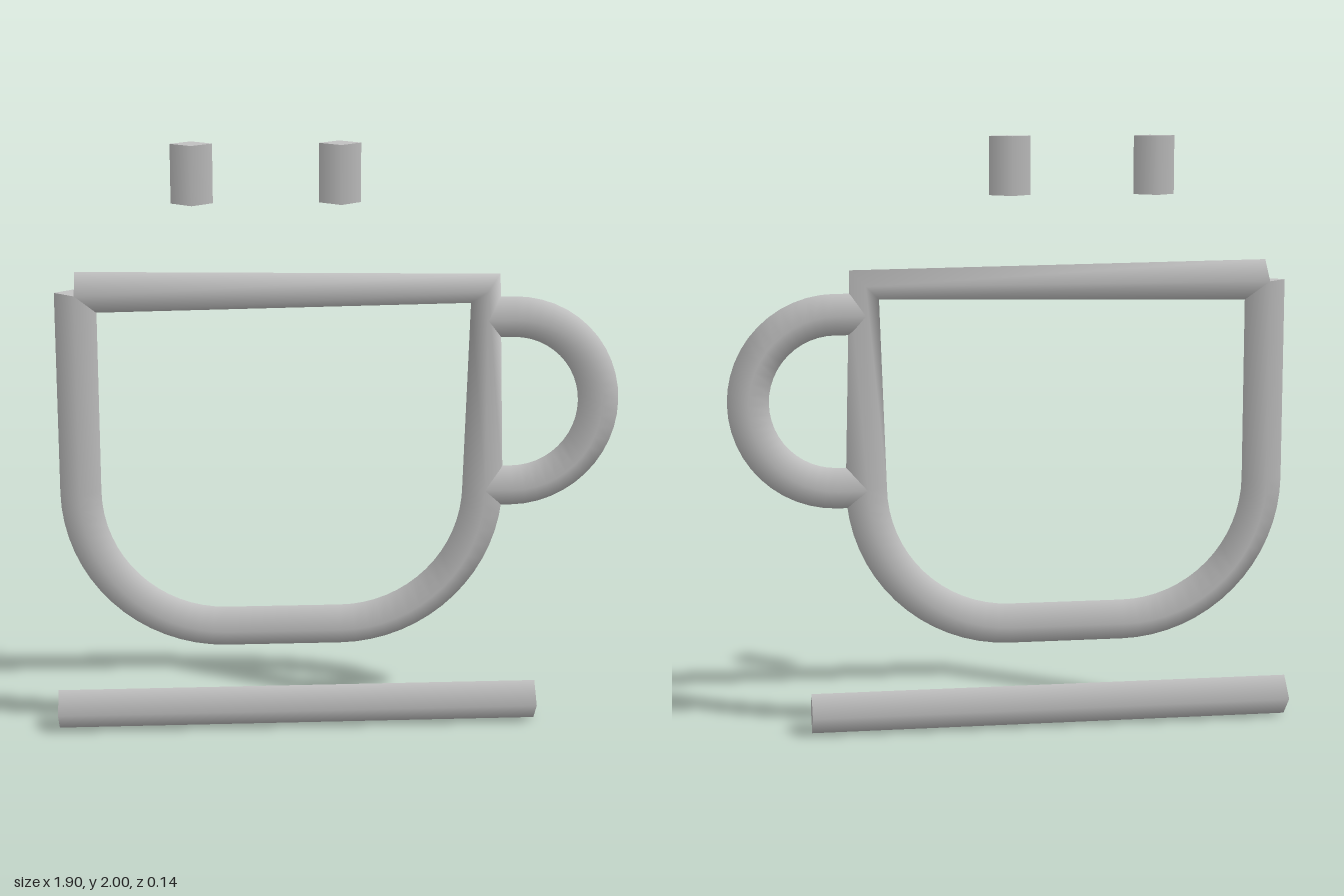
import * as THREE from 'three';

const U = 0.0966; // design grid unit
const R = 0.0685; // half-diagonal of the square rod

// Design grid (x right, y down) to model space
const P = (x, y) => new THREE.Vector2((x - 12) * U + 0.011, (21 - y) * U + R);

// Points along a circular arc, angles in degrees on the y-up plane
function arc(cx, cy, r, from, to, steps) {
  const points = [];
  for (let i = 0; i <= steps; i++) {
    const a = THREE.MathUtils.degToRad(from + ((to - from) * i) / steps);
    points.push(P(cx + r * Math.cos(a), cy - r * Math.sin(a)));
  }
  return points;
}

// Sweeps a diamond section along a path in the xy plane: soft sides, flat end caps
function rodGeometry(path) {
  const pos = [], nor = [], idx = [];
  const last = path.length - 1;
  const dir = (i) => path[i + 1].clone().sub(path[i]).normalize();
  const rings = path.map((p, i) => {
    const t = new THREE.Vector2();
    if (i > 0) t.add(dir(i - 1));
    if (i < last) t.add(dir(i));
    t.normalize();
    const offsets = [[-t.y, t.x, 0], [0, 0, 1], [t.y, -t.x, 0], [0, 0, -1]];
    const corners = offsets.map(([x, y, z]) => [p.x + x * R, p.y + y * R, z * R]);
    corners.forEach((c, k) => { pos.push(...c); nor.push(...offsets[k]); });
    return { t, corners };
  });
  for (let i = 0; i < last; i++) {
    for (let k = 0; k < 4; k++) {
      const a = i * 4 + k, b = i * 4 + ((k + 1) % 4);
      idx.push(a, b, a + 4, b, b + 4, a + 4);
    }
  }
  for (const [ring, s] of [[rings[0], -1], [rings[last], 1]]) {
    const n = pos.length / 3;
    for (const c of ring.corners) {
      pos.push(...c);
      nor.push(ring.t.x * s, ring.t.y * s, 0);
    }
    if (s > 0) idx.push(n, n + 1, n + 2, n, n + 2, n + 3);
    else idx.push(n, n + 2, n + 1, n, n + 3, n + 2);
  }
  const g = new THREE.BufferGeometry();
  g.setAttribute('position', new THREE.Float32BufferAttribute(pos, 3));
  g.setAttribute('normal', new THREE.Float32BufferAttribute(nor, 3));
  g.setIndex(idx);
  return g;
}

export function createModel() {
  const group = new THREE.Group();
  const grey = new THREE.MeshStandardMaterial({ color: 0xc0c0c0 });
  grey.name = 'lightGrey';

  const add = (name, path) => {
    const mesh = new THREE.Mesh(rodGeometry(path), grey);
    mesh.name = name;
    group.add(mesh);
  };

  // Cup outline: down the left, round the base, up the right, back along the rim
  add('cupOutline', [
    P(3, 6),
    ...arc(8, 13, 5, 180, 270, 16),
    ...arc(12, 13, 5, 270, 360, 16),
    P(17, 6),
    P(3, 6),
  ]);

  // Handle loop
  add('handle', [P(17, 7), ...arc(18, 10, 3, 90, -90, 24), P(17, 13)]);

  // Saucer line
  add('saucer', [P(2, 21), P(19, 21)]);

  // Steam marks
  add('steamRight', [P(8 - 1, 1), P(7, 3)]);
  add('steamLeft', [P(12, 1), P(12, 3)]);

  return group;
}
